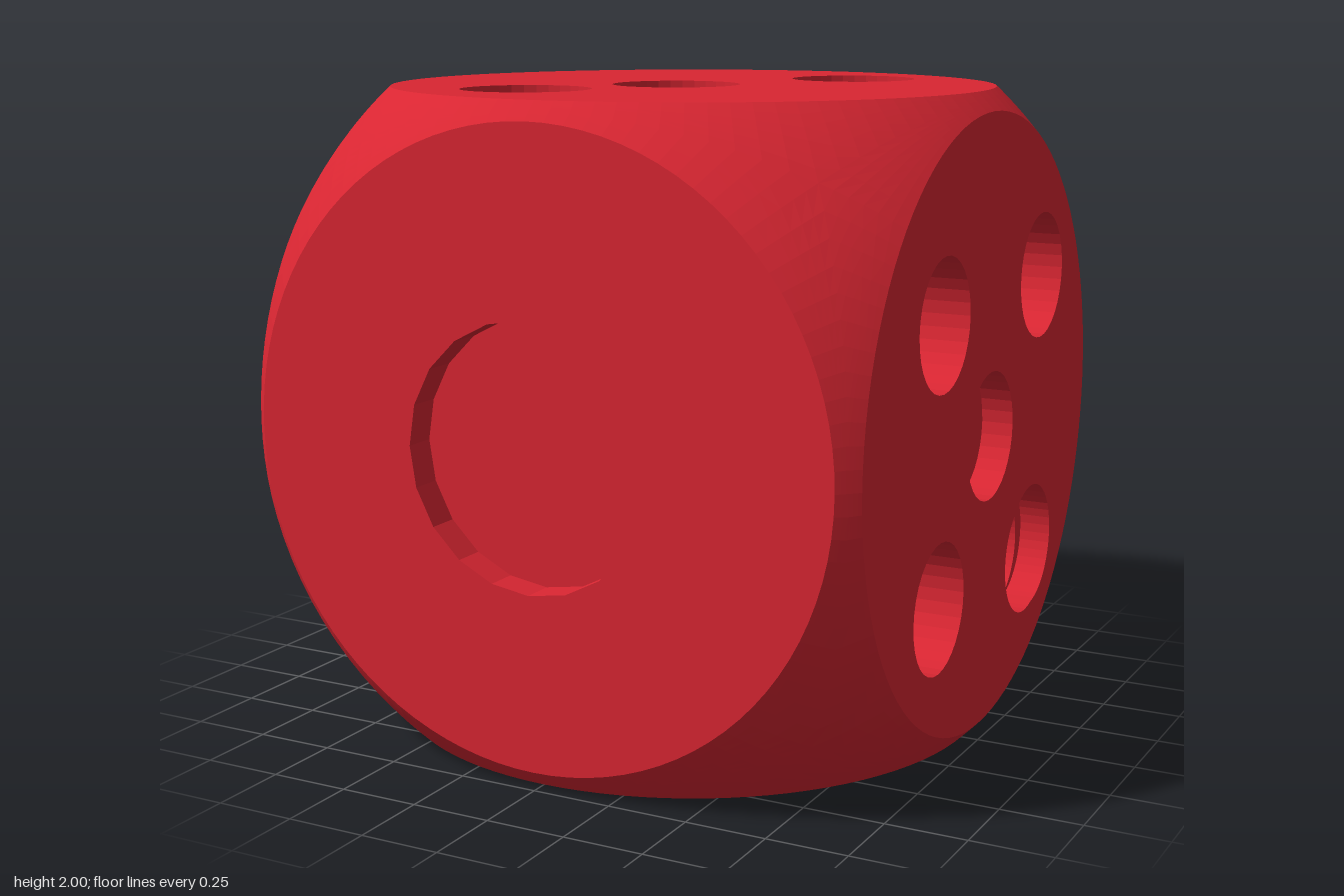
import * as THREE from 'three';

const FACE_R = 0.945;                       // radius of each flat round face
const BALL_R = Math.hypot(1, FACE_R);       // ball that rounds off the cube
const SEG = 96;

const red = new THREE.MeshStandardMaterial({ color: 0xd92632, flatShading: true });

// Skin a series of closed loops (counter-clockwise, outermost first)
function skin(loops) {
  const n = loops[0].length;
  const pos = [], index = [];
  loops.forEach((loop) => loop.forEach((p) => pos.push(p.x, p.y, p.z)));
  for (let k = 0; k < loops.length - 1; k++) {
    for (let i = 0; i < n; i++) {
      const j = (i + 1) % n;
      const a = k * n + i, b = k * n + j, c = a + n, d = b + n;
      index.push(a, b, c, b, d, c);
    }
  }
  const g = new THREE.BufferGeometry();
  g.setAttribute('position', new THREE.Float32BufferAttribute(pos, 3));
  g.setIndex(index);
  g.computeVertexNormals();
  return g;
}

// Loop around (u, v) at height z, radius given as a function of angle
function loopAt(u, v, z, radius, n) {
  return Array.from({ length: n }, (_, i) => {
    const t = (i / n) * Math.PI * 2, r = radius(t);
    return new THREE.Vector3(u + r * Math.cos(t), v + r * Math.sin(t), z);
  });
}

const circle = (r) => () => r;

// Circle whose centre is shifted by (dx, dy), as radius over angle
const shifted = (r, dx, dy) => (t) => {
  const c = Math.cos(t), s = Math.sin(t);
  return dx * c + dy * s + Math.sqrt(r * r - (dx * s - dy * c) ** 2);
};

// A pip is a position plus steps of [radius function, depth at its foot]
const pip = (u, v, r, depth, sides = 32) => ({ u, v, sides, steps: [[circle(r), depth]] });
const steppedPip = (u, v) => ({
  u, v, sides: 32, steps: [[circle(0.3), 0.05], [circle(0.255), 0.1]],
});

// Two overlapping bores, one deeper than the other
function doublePip(u, v) {
  const deep = shifted(0.19, -0.02, -0.01), shallow = shifted(0.2, 0.02, 0.01);
  const both = (t) => Math.max(deep(t), shallow(t));
  return { u, v, sides: 48, steps: [[both, 0.1], [deep, 0.2]] };
}

function pipGeometry({ u, v, sides, steps }) {
  const loops = [];
  let depth = 0;
  for (const [radius, foot] of steps) {
    loops.push(loopAt(u, v, 1 - depth, radius, sides), loopAt(u, v, 1 - foot, radius, sides));
    depth = foot;
  }
  loops.push(loopAt(u, v, 1 - depth, circle(0), sides));
  return skin(loops);
}

// Part of the ball around one face, out to the middle of the cube edges
function roundedRim() {
  const rings = 6, loops = [];
  const inner = loopAt(0, 0, 1, circle(FACE_R), SEG);
  const outer = loopAt(0, 0, 1, (t) => 1 / Math.max(Math.abs(Math.cos(t)), Math.abs(Math.sin(t))), SEG)
    .map((p) => p.setLength(BALL_R));
  for (let k = 0; k <= rings; k++) {
    loops.push(outer.map((p, i) => p.clone().lerp(inner[i], k / rings).setLength(BALL_R)));
  }
  return skin(loops);
}

// One side of the die, built facing +z
function side(name, pips) {
  const group = new THREE.Group();
  group.name = name;
  const add = (geometry, part) => {
    const mesh = new THREE.Mesh(geometry, red);
    mesh.name = part;
    group.add(mesh);
  };
  const shape = new THREE.Shape(loopAt(0, 0, 0, circle(FACE_R), SEG).map((p) => new THREE.Vector2(p.x, p.y)));
  for (const p of pips) {
    const rim = loopAt(p.u, p.v, 0, p.steps[0][0], p.sides);
    shape.holes.push(new THREE.Path(rim.map((q) => new THREE.Vector2(q.x, q.y))));
    add(pipGeometry(p), 'pip');
  }
  add(new THREE.ShapeGeometry(shape).translate(0, 0, 1), 'flatFace');
  add(roundedRim(), 'roundedRim');
  return group;
}

export function createModel() {
  const die = new THREE.Group();
  die.name = 'die';
  const H = Math.PI / 2;
  // name, rotation about x, rotation about y, pips
  const sides = [
    ['frontOne', 0, 0, [pip(-0.01, -0.01, 0.4, 0.1, 20)]],
    ['backTwo', 0, Math.PI, [steppedPip(0.35, 0.35), steppedPip(-0.17, -0.38)]],
    ['topThree', -H, 0, [pip(0.32, 0.52, 0.2, 0.1), pip(-0.04, -0.04, 0.2, 0.1), pip(-0.32, -0.48, 0.2, 0.1)]],
    ['bottomFour', H, 0, [
      pip(0.44, -0.43, 0.24, 0.1), pip(0.44, 0.42, 0.24, 0.1),
      pip(-0.4, -0.45, 0.24, 0.1), pip(-0.44, 0.41, 0.24, 0.1)]],
    ['leftFive', 0, H, [
      pip(-0.36, 0.36, 0.2, 0.2), pip(0.48, 0.4, 0.2, 0.2), pip(0.04, -0.04, 0.2, 0.1),
      pip(-0.36, -0.48, 0.2, 0.2), doublePip(0.42, -0.49)]],
    ['rightSix', 0, -H, [
      pip(-0.36, 0.56, 0.2, 0.2), pip(-0.36, 0.04, 0.2, 0.2), pip(-0.36, -0.49, 0.2, 0.2),
      pip(0.38, 0.52, 0.2, 0.2), pip(0.38, 0, 0.2, 0.2), pip(0.37, -0.49, 0.2, 0.2)]],
  ];
  for (const [name, rx, ry, pips] of sides) {
    const s = side(name, pips);
    s.rotation.set(rx, ry, 0);
    s.position.y = 1;
    die.add(s);
  }
  return die;
}
